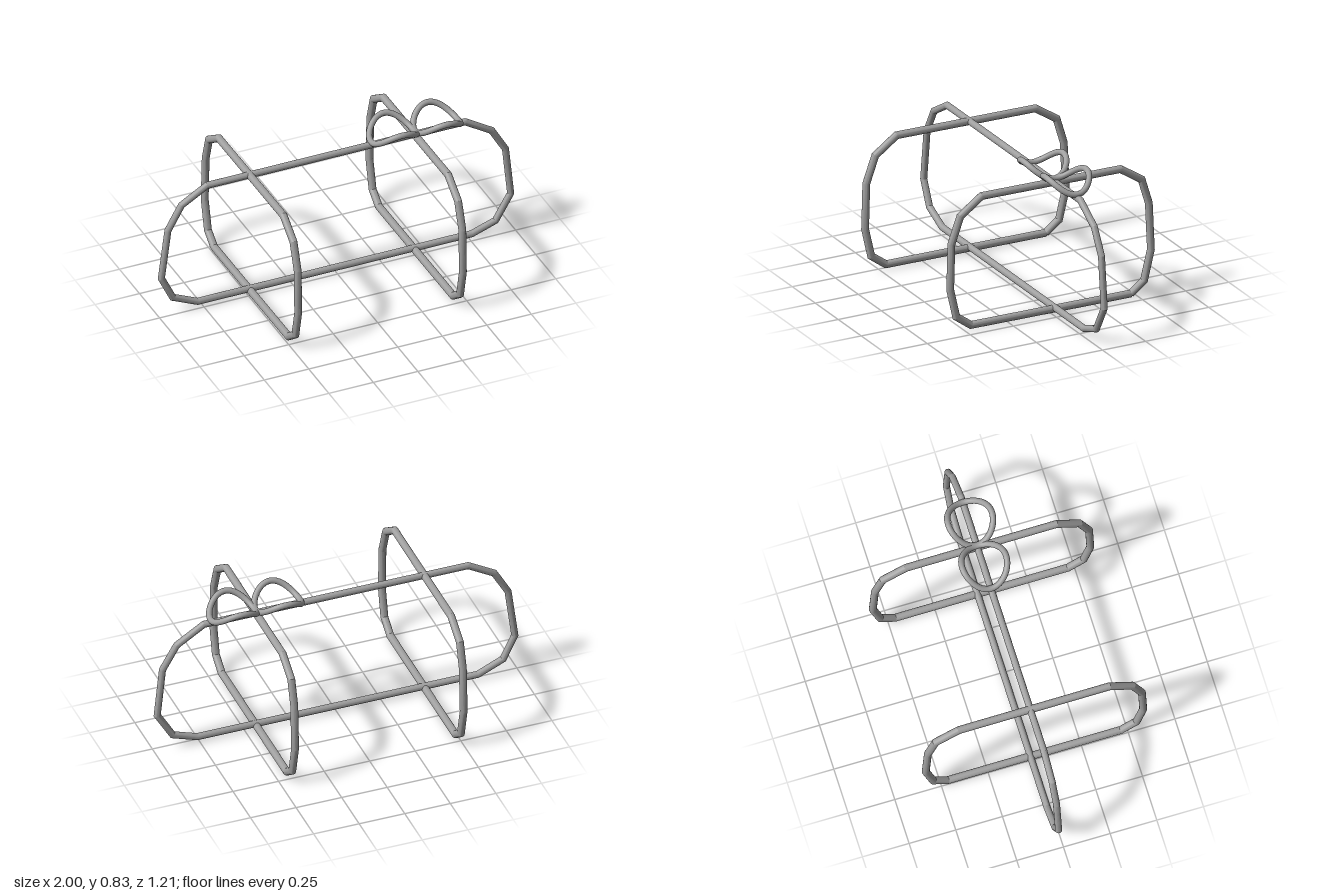
import * as THREE from 'three';
import { toCreasedNormals } from 'three/addons/utils/BufferGeometryUtils.js';

const SIDES = 20;

// Round rod along straight segments in one plane, with mitred corners.
function rodGeometry(points, planeNormal, radius, closed) {
  const n = planeNormal, count = points.length;
  const across = (a, b) => new THREE.Vector3().crossVectors(n, b.clone().sub(a).normalize());
  const positions = [], index = [];
  points.forEach((p, i) => {
    const prev = closed || i > 0 ? across(points[(i + count - 1) % count], p) : null;
    const next = closed || i < count - 1 ? across(p, points[(i + 1) % count]) : null;
    const u = prev && next
      ? prev.clone().add(next).divideScalar(1 + prev.dot(next))
      : (prev || next);
    for (let j = 0; j < SIDES; j++) {
      const a = (j / SIDES) * Math.PI * 2;
      const v = p.clone()
        .addScaledVector(u, Math.cos(a) * radius)
        .addScaledVector(n, Math.sin(a) * radius);
      positions.push(v.x, v.y, v.z);
    }
  });
  const spans = closed ? count : count - 1;
  for (let i = 0; i < spans; i++) {
    for (let j = 0; j < SIDES; j++) {
      const k = (j + 1) % SIDES, r0 = i * SIDES, r1 = ((i + 1) % count) * SIDES;
      index.push(r0 + j, r0 + k, r1 + j, r0 + k, r1 + k, r1 + j);
    }
  }
  const g = new THREE.BufferGeometry();
  g.setAttribute('position', new THREE.Float32BufferAttribute(positions, 3));
  g.setIndex(index);
  return toCreasedNormals(g, 0.4);
}

// Circle seen from above, bent upward at its front and back.
class BowCurve extends THREE.Curve {
  getPoint(t, target = new THREE.Vector3()) {
    const a = t * Math.PI * 2, s = Math.sin(a);
    return target.set(0.122 * Math.cos(a), 0.074 * s * s, 0.117 * s);
  }
}

export function createModel() {
  const group = new THREE.Group();
  const metal = new THREE.MeshStandardMaterial({ color: 0xa0a0a0, side: THREE.DoubleSide });
  const add = (name, geometry, x, y, z) => {
    const mesh = new THREE.Mesh(geometry, metal);
    mesh.name = name;
    mesh.position.set(x, y, z);
    group.add(mesh);
  };

  // Long hoop running left to right
  const longHoop = [
    [-0.725, 0.727], [-0.868, 0.644], [-0.944, 0.51], [-0.981, 0.227], [-0.917, 0.094],
    [-0.778, 0.032], [0.762, 0.032], [0.896, 0.078], [0.981, 0.222], [0.952, 0.5],
    [0.874, 0.634], [0.725, 0.727],
  ].map(([x, y]) => new THREE.Vector3(x, y, 0));
  add('longHoop', rodGeometry(longHoop, new THREE.Vector3(0, 0, 1), 0.018, true), 0, 0, -0.02);

  // Two cross hoops, each with an open joint at the lower back corner
  const crossHoop = [
    [-0.462, 0.022], [0.465, 0.028], [0.55, 0.09], [0.585, 0.245], [0.578, 0.497],
    [0.526, 0.642], [0.403, 0.73], [-0.403, 0.723], [-0.526, 0.642], [-0.568, 0.503],
    [-0.58, 0.245], [-0.54, 0.08], [-0.462, 0.022],
  ].map(([z, y]) => new THREE.Vector3(0, y, z));
  const crossGeometry = rodGeometry(crossHoop, new THREE.Vector3(1, 0, 0), 0.02, false);
  add('rightCrossHoop', crossGeometry, -0.485, 0, 0);
  add('leftCrossHoop', crossGeometry, 0.44, 0, 0);

  // Two bow loops on top
  const bowGeometry = new THREE.TubeGeometry(new BowCurve(), 64, 0.016, 14, true);
  add('rightBowLoop', bowGeometry, 0.319, 0.746, -0.02);
  add('leftBowLoop', bowGeometry, 0.566, 0.746, -0.02);

  return group;
}
